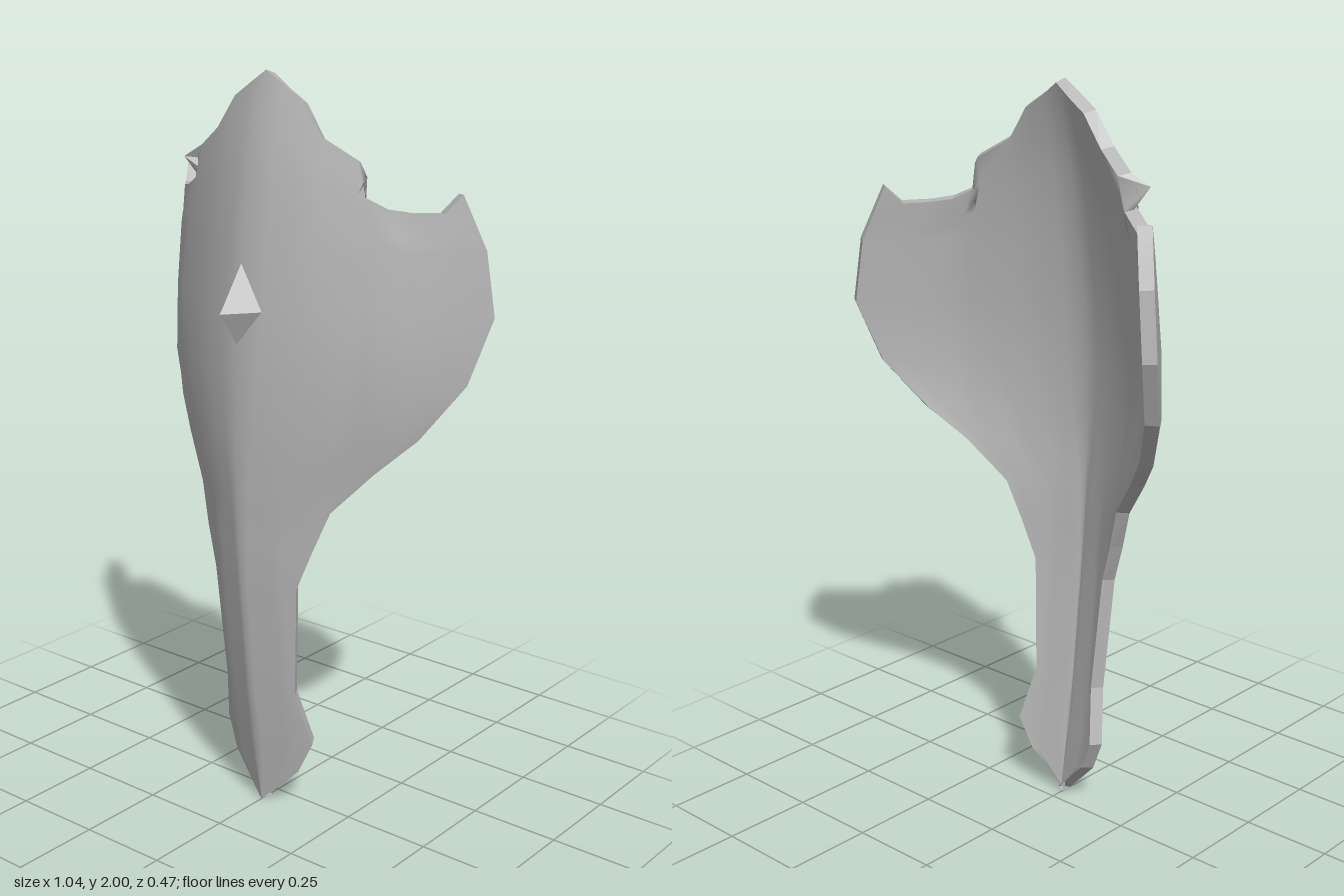
import * as THREE from 'three';

// Piecewise linear lookup in a list of [key, value] pairs
function lookup(list, k) {
  for (let i = 1; i < list.length; i++) {
    const [a, va] = list[i - 1], [b, vb] = list[i];
    if (k <= b) return va + (vb - va) * Math.max(0, (k - a) / (b - a));
  }
  return list[list.length - 1][1];
}

// Half width, ridge depth, backward sweep by x, and extra curl by height
const WIDTH = [[0, 0.001], [0.11, 0.11], [0.2, 0.15], [0.35, 0.12], [0.67, 0.14], [0.89, 0.22],
  [1.0, 0.315], [1.09, 0.4], [1.23, 0.485], [1.4, 0.522], [1.57, 0.5]];
const RIDGE = [[0, 0.072], [0.35, 0.122], [0.7, 0.157], [1, 0.174], [1.3, 0.17], [1.5, 0.15],
  [1.75, 0.112], [1.85, 0.09], [2, 0.045]];
const SWEEP = [[0, 0], [0.1, 0.026], [0.2, 0.068], [0.36, 0.168], [0.45, 0.275], [0.522, 0.38]];
const CURL = [[0, 1.4], [0.9, 1.4], [1.09, 1.15], [1.25, 1], [2, 1]];
// Top edge from the crown to the side horn
const TOP = [[0, 2], [0.055, 1.965], [0.11, 1.93], [0.17, 1.845], [0.255, 1.792], [0.275, 1.755],
  [0.262, 1.712], [0.285, 1.7], [0.33, 1.677], [0.38, 1.667], [0.428, 1.665], [0.455, 1.71]];
const SPREAD = [0, 0.12, 0.24, 0.37, 0.53, 0.57, 0.6, 0.64, 0.73, 0.83, 0.93, 1];
const THICK = 0.036;

function surfacePoint(x, y) {
  const z = lookup(RIDGE, y) - lookup(SWEEP, Math.abs(x)) * lookup(CURL, y);
  return new THREE.Vector3(x, y, z);
}

function indexedGeometry(points, index) {
  const g = new THREE.BufferGeometry().setFromPoints(points);
  g.setIndex(index);
  g.computeVertexNormals();
  return g;
}

function buildPlate(material) {
  const half = SPREAD.length - 1, cols = 2 * half + 1;
  const rows = [];
  const makeRow = (place) => {
    const row = [];
    for (let i = -half; i <= half; i++) {
      const [x, y] = place(Math.abs(i));
      row.push(surfacePoint(Math.sign(i) * x, y));
    }
    rows.push(row);
  };
  // Lower rows follow the side outline, upper rows blend into the top edge
  const heights = WIDTH.map(([y]) => y).concat(0.51, 0.78).sort((a, b) => a - b);
  for (const y of heights) makeRow((i) => [SPREAD[i] * lookup(WIDTH, y), y]);
  const [lastY, lastW] = WIDTH[WIDTH.length - 1];
  for (const f of [0.25, 0.5, 0.75, 1]) {
    makeRow((i) => [
      THREE.MathUtils.lerp(SPREAD[i] * lastW, TOP[i][0], f),
      THREE.MathUtils.lerp(lastY, TOP[i][1], f),
    ]);
  }

  const front = rows.flat(), index = [];
  for (let r = 0; r < rows.length - 1; r++) {
    for (let c = 0; c < cols - 1; c++) {
      const a = r * cols + c, b = a + 1, d = a + cols, e = d + 1;
      // Mirror the diagonals about the ridge
      if (c < half) index.push(a, b, e, a, e, d);
      else index.push(a, b, d, b, e, d);
    }
  }
  const frontGeometry = indexedGeometry(front, index);

  // The back is the front pushed inward along its normals
  const normals = frontGeometry.attributes.normal;
  const back = front.map((p, i) => p.clone().addScaledVector(
    new THREE.Vector3().fromBufferAttribute(normals, i), -THICK));
  const backGeometry = indexedGeometry(back, index.slice().reverse());

  // Flat rim running counterclockwise round the outline
  const loop = [], n = rows.length;
  for (let c = 0; c < cols - 1; c++) loop.push(c);
  for (let r = 0; r < n - 1; r++) loop.push(r * cols + cols - 1);
  for (let c = cols - 1; c > 0; c--) loop.push((n - 1) * cols + c);
  for (let r = n - 1; r > 0; r--) loop.push(r * cols);
  const rim = [];
  loop.forEach((a, i) => {
    const b = loop[(i + 1) % loop.length];
    rim.push(front[a], back[a], back[b], front[a], back[b], front[b]);
  });
  const rimGeometry = new THREE.BufferGeometry().setFromPoints(rim);
  rimGeometry.computeVertexNormals();

  const plate = new THREE.Group();
  plate.name = 'shieldPlate';
  const parts = { plateFront: frontGeometry, plateBack: backGeometry, plateRim: rimGeometry };
  for (const [name, geometry] of Object.entries(parts)) {
    const mesh = new THREE.Mesh(geometry, material);
    mesh.name = name;
    plate.add(mesh);
  }
  return plate;
}

export function createModel() {
  const grey = new THREE.MeshStandardMaterial({ color: 0xb4b4b4 });
  grey.name = 'plain grey';
  const model = new THREE.Group();
  model.name = 'shield';
  model.add(buildPlate(grey));

  // Diamond-shaped boss at the middle of the ridge
  const cone = new THREE.ConeGeometry(1, 1, 4, 1, true).toNonIndexed();
  cone.rotateX(Math.PI / 2);
  cone.scale(0.073, 0.137, 0.098);
  cone.computeVertexNormals();
  const boss = new THREE.Mesh(cone, grey);
  boss.name = 'diamondBoss';
  boss.position.set(0, 1.413, 0.179);
  model.add(boss);
  return model;
}
